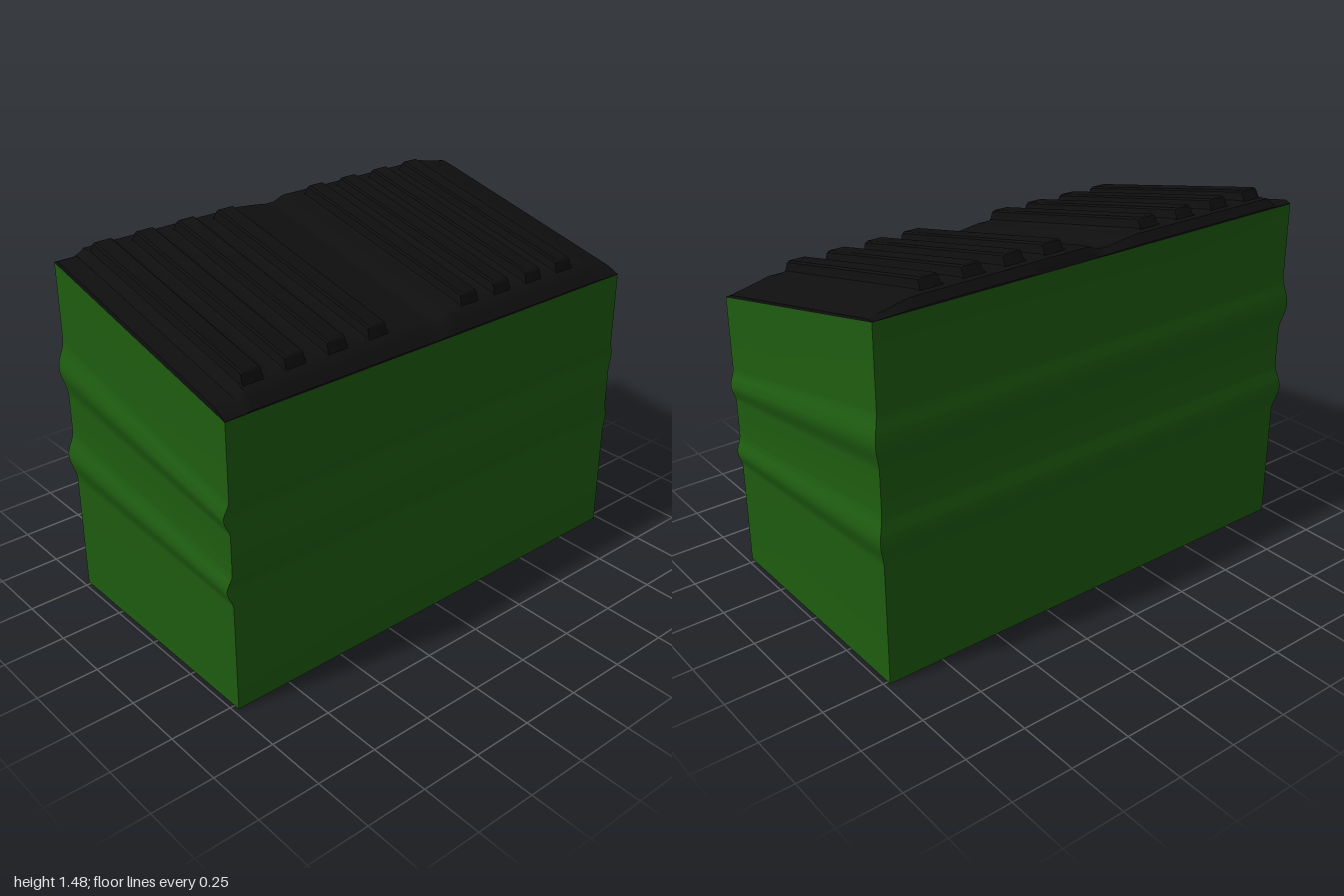
import * as THREE from 'three';
import { toCreasedNormals } from 'three/addons/utils/BufferGeometryUtils.js';

const X0 = -0.515, X1 = 0.525, ZH = 0.98, TOP0 = 1.405, TOP1 = 1.165;
const slopeY = (x) => TOP0 + (TOP1 - TOP0) * (x - X0) / (X1 - X0);

// Skins a grid of points: rows of equal length, front side = row direction x column direction
function skin(rows, crease) {
  const n = rows[0].length, index = [];
  for (let i = 0; i < rows.length - 1; i++) {
    for (let j = 0; j < n - 1; j++) {
      const a = i * n + j, b = a + 1, c = a + n, d = c + 1;
      index.push(a, c, b, b, c, d);
    }
  }
  const geo = new THREE.BufferGeometry();
  geo.setAttribute('position', new THREE.Float32BufferAttribute(rows.flat(2), 3));
  geo.setIndex(index);
  return toCreasedNormals(geo, crease);
}

// Piecewise linear lookup in [x, value] pairs
function lookup(pairs, x) {
  for (let i = 1; i < pairs.length; i++) {
    const [xa, va] = pairs[i - 1], [xb, vb] = pairs[i];
    if (x <= xb) return va + (vb - va) * Math.max(0, (x - xa) / (xb - xa));
  }
  return pairs[pairs.length - 1][1];
}

// One closed ring of the walls; the bands swell on three sides and sink in on the low side
function wallRing(yLeft, yRight, swell) {
  const xl = X0 - 0.016 * swell, xr = X1 - 0.007 * swell, z = ZH + 0.02 * swell;
  return [[xr, yRight, z], [xl, yLeft, z], [xl, yLeft, -z], [xr, yRight, -z], [xr, yRight, z]];
}

function wallGeometry() {
  const rows = [wallRing(0, 0, 0)];
  // [bottom, top] at the high side, then at the low side
  const bands = [[0.49, 0.71, 0.44, 0.58], [0.86, 1.1, 0.73, 0.87]];
  const steps = 14;
  for (const [l0, l1, r0, r1] of bands) {
    for (let i = 0; i <= steps; i++) {
      const t = i / steps;
      rows.push(wallRing(l0 + (l1 - l0) * t, r0 + (r1 - r0) * t, 0.5 - 0.5 * Math.cos(2 * Math.PI * t)));
    }
  }
  rows.push(wallRing(TOP0, TOP1, 0));
  return skin(rows, 0.7);
}

function lidGeometry() {
  // Panel height along the length, with a shallow dip in the middle
  const panel = [[-0.98, 0.01], [-0.9, 0.028], [-0.82, 0.045], [-0.06, 0.05], [-0.04, 0.043],
    [-0.01, 0.03], [0.03, 0.03], [0.08, 0.038], [0.17, 0.048], [0.87, 0.046], [0.9, 0.02], [0.98, 0.018]];
  // Panel strength across the width
  const across = [[X0, 0.15], [-0.49, 0.95], [-0.445, 1.05], [0.45, 1.2], [0.475, 1.15], [0.5, 0.65], [X1, 0.15]];
  // Rib strength across the width
  const ribAcross = [[-0.452, 0], [-0.442, 0.6], [-0.436, 0.9], [-0.428, 1], [0.448, 1], [0.455, 0.9], [0.458, 0.6], [0.464, 0]];
  // Rib section along the length
  const ribSection = [[-0.062, 0], [-0.048, 0.12], [-0.043, 0.5], [-0.041, 0.85], [-0.033, 1],
    [0.033, 1], [0.041, 0.85], [0.043, 0.5], [0.048, 0.12], [0.062, 0]];
  const ribs = [-0.71, -0.535, -0.36, -0.185, 0.27, 0.455, 0.64, 0.82];

  const zs = panel.map((p) => p[0]);
  for (const r of ribs) for (const [dz] of ribSection) zs.push(r + dz);
  zs.sort((a, b) => a - b);
  const xs = [...across, ...ribAcross].map((p) => p[0]).sort((a, b) => a - b);

  const height = (x, z) => {
    let rib = 0;
    for (const r of ribs) {
      if (Math.abs(z - r) < 0.062) rib = Math.max(rib, lookup(ribSection, z - r));
    }
    return lookup(panel, z) * lookup(across, x) + 0.044 * rib * lookup(ribAcross, x);
  };
  const cols = [X0, ...xs, X1];
  const lines = [-ZH, ...zs, ZH];
  // The outermost ring drops onto the rim of the walls
  const rows = lines.map((z, i) => cols.map((x, j) => {
    const rim = i === 0 || j === 0 || i === lines.length - 1 || j === cols.length - 1;
    return [x, slopeY(x) + (rim ? 0 : height(x, z)), z];
  }));
  return skin(rows, 0.65);
}

export function createModel() {
  const group = new THREE.Group();
  const green = new THREE.MeshStandardMaterial({ color: 0x1e5c10 });
  const black = new THREE.MeshStandardMaterial({ color: 0x0f0f0f });
  const add = (name, geo, mat) => {
    const mesh = new THREE.Mesh(geo, mat);
    mesh.name = name;
    group.add(mesh);
  };

  // Container walls with two swelling bands
  add('walls', wallGeometry(), green);

  // Flat underside
  const base = new THREE.PlaneGeometry(X1 - X0, 2 * ZH);
  base.rotateX(Math.PI / 2).translate((X0 + X1) / 2, 0, 0);
  add('base', base, green);

  // Sloping ribbed lid
  add('lid', lidGeometry(), black);
  return group;
}
